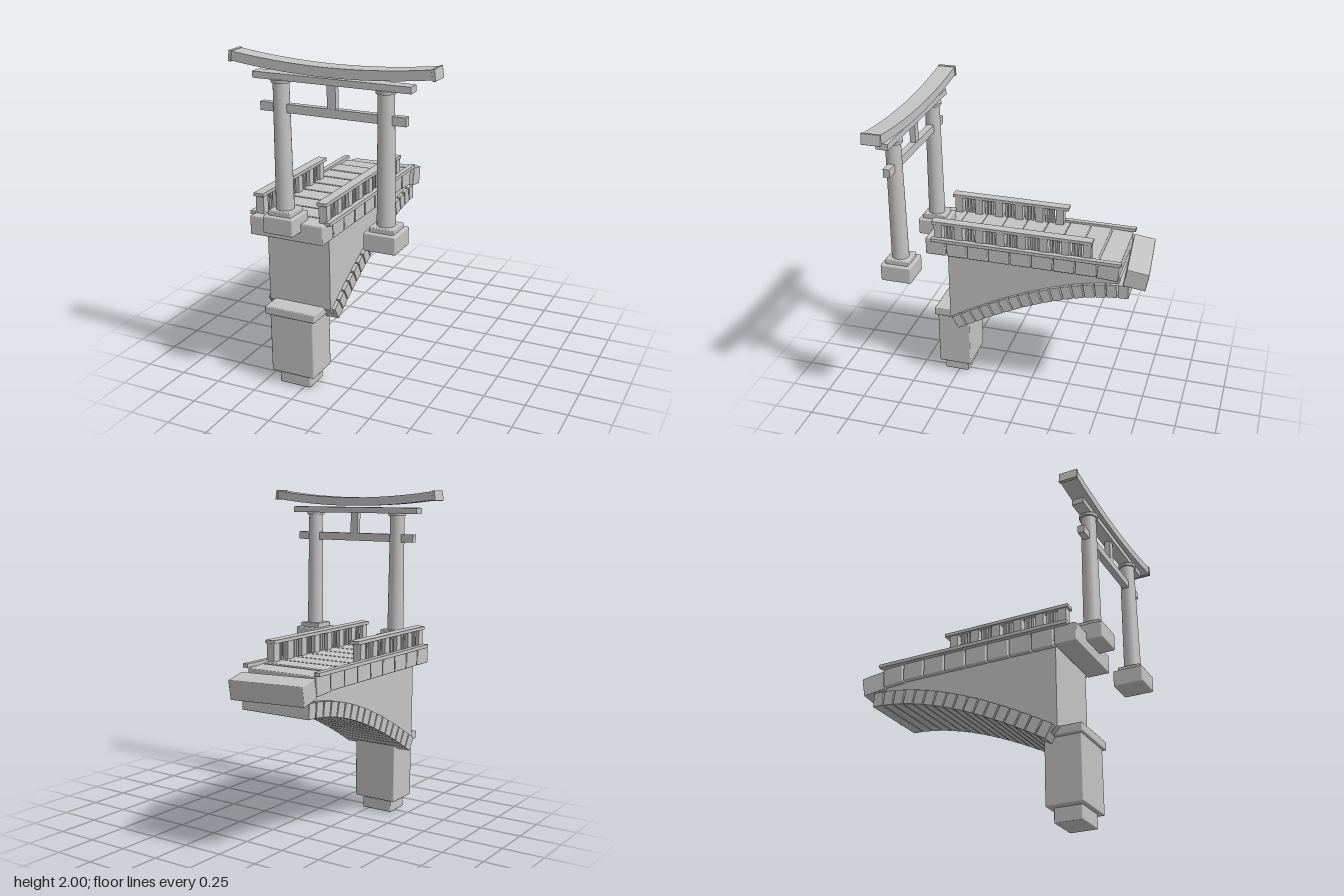
import * as THREE from 'three';
import { RoundedBoxGeometry } from 'three/addons/geometries/RoundedBoxGeometry.js';

const stone = new THREE.MeshStandardMaterial({ color: 0xc4c4c4 });
stone.name = 'pale stone';

const CX = -0.31; // centre line of the bridge
const GZ = 0.645; // plane of the gate

function add(parent, name, geometry, x = 0, y = 0, z = 0) {
  const mesh = new THREE.Mesh(geometry, stone);
  mesh.name = name;
  mesh.position.set(x, y, z);
  parent.add(mesh);
  return mesh;
}

// Box given by its extents, with optional softened edges
function block(parent, name, [x0, x1], [y0, y1], [z0, z1], bevel = 0) {
  const w = x1 - x0, h = y1 - y0, d = z1 - z0;
  const geometry = bevel ? new RoundedBoxGeometry(w, h, d, 1, bevel) : new THREE.BoxGeometry(w, h, d);
  return add(parent, name, geometry, (x0 + x1) / 2, (y0 + y1) / 2, (z0 + z1) / 2);
}

function group(parent, name) {
  const g = new THREE.Group();
  g.name = name;
  parent.add(g);
  return g;
}

function buildPier(root) {
  const pier = group(root, 'pier');
  block(pier, 'pierFoot', [-0.41, -0.21], [0, 0.085], [0.435, 0.595], 0.006);
  block(pier, 'pierShaft', [-0.45, -0.17], [0.08, 0.455], [0.405, 0.62], 0.008);
  block(pier, 'pierCap', [-0.475, -0.15], [0.45, 0.5], [0.39, 0.635], 0.006);
}

function buildArch(root) {
  const arch = group(root, 'brokenArch');
  // Arch line, held as (z, y)
  const curve = new THREE.QuadraticBezierCurve(
    new THREE.Vector2(0.475, 0.452), new THREE.Vector2(-0.2, 0.86), new THREE.Vector2(-0.645, 0.862));
  const count = 17;
  const step = curve.getLength() / count;
  for (let i = 0; i < count; i++) {
    const u = (i + 0.5) / count;
    const p = curve.getPointAt(u), t = curve.getTangentAt(u);
    const s = add(arch, 'archStone', new RoundedBoxGeometry(0.445, 0.088, step - 0.007, 1, 0.003), CX, p.y, p.x);
    s.rotation.x = Math.atan2(t.y, -t.x);
  }
  // Wall between the arch and the deck
  const shape = new THREE.Shape();
  shape.moveTo(0.51, 0.945);
  shape.lineTo(0.51, 0.49);
  for (const p of curve.getSpacedPoints(24)) {
    if (p.x > -0.59) shape.lineTo(p.x, p.y);
  }
  shape.lineTo(-0.59, 0.945);
  const wall = new THREE.ExtrudeGeometry(shape, { depth: 0.4, bevelEnabled: false });
  wall.rotateY(-Math.PI / 2);
  add(arch, 'spandrelWall', wall, CX + 0.2);
}

function buildDeck(root) {
  const deck = group(root, 'deck');
  const pitch = 0.1365;
  for (let i = 0; i < 9; i++) {
    const z1 = 0.645 - i * pitch;
    const b = block(deck, 'deckSlab', [-0.54, -0.08], [0.942, 1.052], [z1 - pitch + 0.006, z1], 0.006);
    if (i === 8) b.rotation.x = -0.06;
    if (i === 8) b.position.y -= 0.008;
  }
  // Loose slab dropping off the broken end
  const loose = add(deck, 'looseSlab', new RoundedBoxGeometry(0.46, 0.115, 0.138, 1, 0.005), CX, 0.961, -0.665);
  loose.rotation.set(-0.18, 0.088, 0);
  // Projecting edge strips
  block(deck, 'edgeStrip', [-0.565, -0.53], [1.043, 1.066], [-0.595, 0.6], 0.003);
  block(deck, 'edgeStrip', [-0.09, -0.055], [1.043, 1.066], [-0.595, 0.6], 0.003);
}

function buildRailing(root, name, x, end) {
  const rail = group(root, name);
  block(rail, 'handrail', [x - 0.031, x + 0.031], [1.155, 1.176], [end, 0.6], 0.003);
  const pitch = 0.1345;
  for (let z = 0.56; z > end + 0.02; z -= pitch) {
    block(rail, 'railPost', [x - 0.025, x + 0.025], [1.045, 1.158], [z - 0.025, z + 0.025]);
    for (let k = 1; k <= 3; k++) {
      const bz = z - 0.025 - k * (pitch - 0.05) / 4;
      if (bz < end + 0.02) continue;
      block(rail, 'baluster', [x - 0.012, x + 0.012], [1.045, 1.158], [bz - 0.007, bz + 0.007]);
    }
  }
}

// Beam along x whose rise follows the square of the distance from the middle
function curvedBeam(halfLength, from, height, depth) {
  const g = new THREE.BoxGeometry(2 * halfLength, height, depth, 24, 1, 1);
  const p = g.attributes.position;
  for (let i = 0; i < p.count; i++) {
    p.setY(i, p.getY(i) + from + 0.042 * (p.getX(i) / 0.59) ** 2);
  }
  g.computeVertexNormals();
  return g;
}

function buildGate(root) {
  const gate = group(root, 'gate');
  for (const side of [-1, 1]) {
    const x = side * 0.306;
    const c = group(gate, side < 0 ? 'rightColumn' : 'leftColumn');
    block(c, 'columnBase', [x - 0.093, x + 0.093], [1.003, 1.106], [GZ - 0.093, GZ + 0.093], 0.009);
    block(c, 'columnPlinth', [x - 0.07, x + 0.07], [1.1, 1.134], [GZ - 0.07, GZ + 0.07], 0.006);
    add(c, 'columnShaft', new THREE.CylinderGeometry(0.044, 0.051, 0.73, 24), x, 1.49, GZ);
    add(c, 'columnCollar', new THREE.CylinderGeometry(0.056, 0.054, 0.018, 24), x, 1.852, GZ);
    const tip = block(gate, 'lintelEnd', [-0.009, 0.009], [-0.031, 0.031], [-0.056, 0.056], 0.003);
    tip.position.set(side * 0.583, 1.968, GZ);
    tip.rotation.z = side * 0.14;
  }
  block(gate, 'tieBeam', [-0.428, 0.424], [1.682, 1.73], [GZ - 0.019, GZ + 0.019]);
  block(gate, 'centreStrut', [-0.025, 0.025], [1.728, 1.862], [GZ - 0.017, GZ + 0.017]);
  block(gate, 'upperBeam', [-0.46, 0.457], [1.858, 1.894], [GZ - 0.035, GZ + 0.035]);
  add(gate, 'curvedLintel', curvedBeam(0.583, 1.929, 0.052, 0.104), 0, 0, GZ);
}

export function createModel() {
  const root = new THREE.Group();
  root.name = 'ruinedBridgeGate';
  buildPier(root);
  buildArch(root);
  buildDeck(root);
  buildRailing(root, 'rightRailing', -0.508, -0.17);
  buildRailing(root, 'leftRailing', -0.106, -0.412);
  buildGate(root);
  return root;
}
